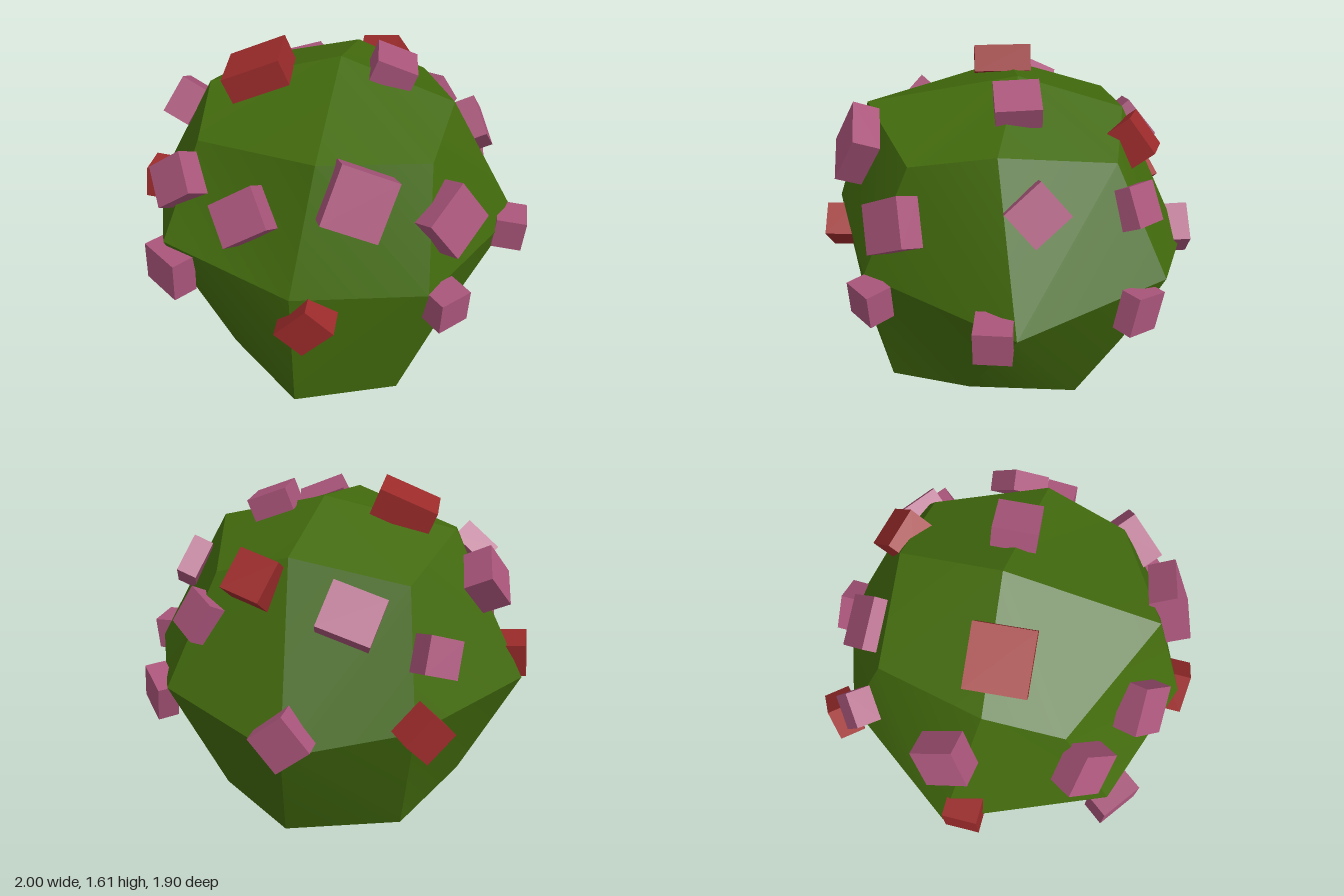
import * as THREE from 'three';

const green = new THREE.MeshStandardMaterial({ color: 0x426a0d });
green.name = 'leafGreen';
const pink = new THREE.MeshStandardMaterial({ color: 0xa9557a });
pink.name = 'blossomPink';
const red = new THREE.MeshStandardMaterial({ color: 0x9c2b2b });
red.name = 'berryRed';

// Rings of the faceted bush, each starting at the front and going round by the left (+x);
// even entries are side middles, odd entries are corners
const topRing = [
  [0.02, 1.41, 0.68], [0.5, 1.3, 0.43], [0.58, 1.39, 0.03], [0.42, 1.29, -0.5],
  [0.06, 1.41, -0.55], [-0.47, 1.31, -0.5], [-0.6, 1.41, 0.02], [-0.57, 1.3, 0.39],
];
const midRing = [
  [-0.07, 0.84, 0.89], [0.53, 0.74, 0.67], [0.95, 0.7, -0.06], [0.6, 0.79, -0.74],
  [0, 0.63, -0.92], [-0.55, 0.71, -0.71], [-0.98, 0.72, -0.1], [-0.7, 0.9, 0.65],
];
const baseRing = [
  [-0.08, 0.1, 0.82], [0.41, 0.02, 0.6], [0.62, 0.13, 0.18], [0.5, 0, -0.36],
  [0.08, 0, -0.65], [-0.47, 0.02, -0.48], [-0.7, 0.08, -0.03], [-0.49, 0, 0.39],
];
const crown = [0.03, 1.55, -0.05];
const foot = [0, 0, 0];

// Blocks: centre, outward direction, twist in degrees, width, height, depth
const berries = [
  [[0, 0.7, 0.87], [0, 0, 1], 47, 0.21, 0.17, 0.15],
  [[-0.925, 0.8, 0], [-1, 0.12, 0], 4, 0.17, 0.17, 0.13],
  [[-0.35, 1.5, 0.04], [-0.37, 0.93, 0.03], 0, 0.28, 0.29, 0.13],
  [[0.2, 1.3, -0.585], [0.1, 0.65, -0.75], -13, 0.2, 0.2, 0.16],
  [[-0.59, 0.74, -0.74], [-0.6, -0.02, -0.75], 42, 0.18, 0.17, 0.13],
];
const blossoms = [
  // Low row
  [[0, 0.7, -0.88], [0, 0.08, -1], 40, 0.2, 0.2, 0.13],
  [[0.92, 0.695, 0.04], [1, -0.06, 0.05], 0, 0.17, 0.17, 0.15],
  [[0.61, 0.66, 0.63], [0.68, -0.03, 0.73], 0, 0.17, 0.17, 0.13],
  [[-0.67, 0.78, 0.68], [-0.61, 0.05, 0.79], -2, 0.22, 0.2, 0.12],
  [[0.7, 0.69, -0.61], [0.72, 0, -0.7], -15, 0.19, 0.19, 0.1],
  // Upper row
  [[-0.29, 1.13, 0.7], [-0.3, 0.5, 0.8], 38, 0.23, 0.2, 0.13],
  [[0.2, 1.27, 0.71], [0.28, 0.38, 0.88], -24, 0.26, 0.27, 0.13],
  [[0.6, 1.06, 0.5], [0.65, 0.35, 0.67], 30, 0.25, 0.23, 0.12],
  [[-0.64, 1.15, 0.5], [-0.5, 0.45, 0.72], 42, 0.21, 0.2, 0.13],
  [[-0.77, 1.22, -0.11], [-0.85, 0.45, -0.1], 30, 0.21, 0.2, 0.14],
  [[0.69, 1.18, -0.14], [0.88, 0.4, -0.1], 40, 0.21, 0.2, 0.1],
  [[-0.24, 1.2, -0.63], [-0.2, 0.6, -0.75], -22, 0.25, 0.22, 0.13],
  [[0.47, 1.1, -0.59], [0.5, 0.5, -0.7], -12, 0.19, 0.19, 0.12],
  [[-0.61, 1.04, -0.6], [-0.65, 0.35, -0.7], -22, 0.17, 0.17, 0.12],
  // Crown
  [[0.28, 1.51, -0.05], [0.36, 0.93, 0], 5, 0.21, 0.2, 0.11],
];

// Four-sided facets, each split along its shorter diagonal and evenly shaded
function facetGeometry(quads) {
  const positions = [];
  const index = [];
  quads.forEach((quad, q) => {
    const [a, b, c, d] = quad.map((p) => new THREE.Vector3(...p));
    const split = a.distanceTo(c) < b.distanceTo(d) ? [0, 1, 2, 0, 2, 3] : [0, 1, 3, 1, 2, 3];
    positions.push(...quad.flat());
    index.push(...split.map((i) => q * 4 + i));
  });
  const geometry = new THREE.BufferGeometry();
  geometry.setAttribute('position', new THREE.Float32BufferAttribute(positions, 3));
  geometry.setIndex(index);
  geometry.computeVertexNormals();
  return geometry;
}

function bodyQuads() {
  const quads = [];
  for (let i = 0; i < 8; i++) {
    const j = (i + 1) % 8;
    quads.push([topRing[i], midRing[i], midRing[j], topRing[j]]);
    quads.push([midRing[i], baseRing[i], baseRing[j], midRing[j]]);
    if (i % 2 === 0) {
      const k = (i + 2) % 8;
      quads.push([crown, topRing[i], topRing[j], topRing[k]]);
      quads.push([foot, baseRing[k], baseRing[j], baseRing[i]]);
    }
  }
  return quads;
}

function addBlocks(group, name, material, list) {
  list.forEach(([centre, out, twist, w, h, d]) => {
    const block = new THREE.Mesh(new THREE.BoxGeometry(w, h, d), material);
    block.name = name;
    block.position.set(...centre);
    block.lookAt(block.position.clone().add(new THREE.Vector3(...out)));
    block.rotateZ(THREE.MathUtils.degToRad(twist));
    group.add(block);
  });
}

export function createModel() {
  const model = new THREE.Group();
  model.name = 'floweringBush';

  // Faceted green body
  const body = new THREE.Mesh(facetGeometry(bodyQuads()), green);
  body.name = 'bushBody';
  model.add(body);

  // Blocks half sunk into the body
  addBlocks(model, 'berry', red, berries);
  addBlocks(model, 'blossom', pink, blossoms);
  return model;
}
